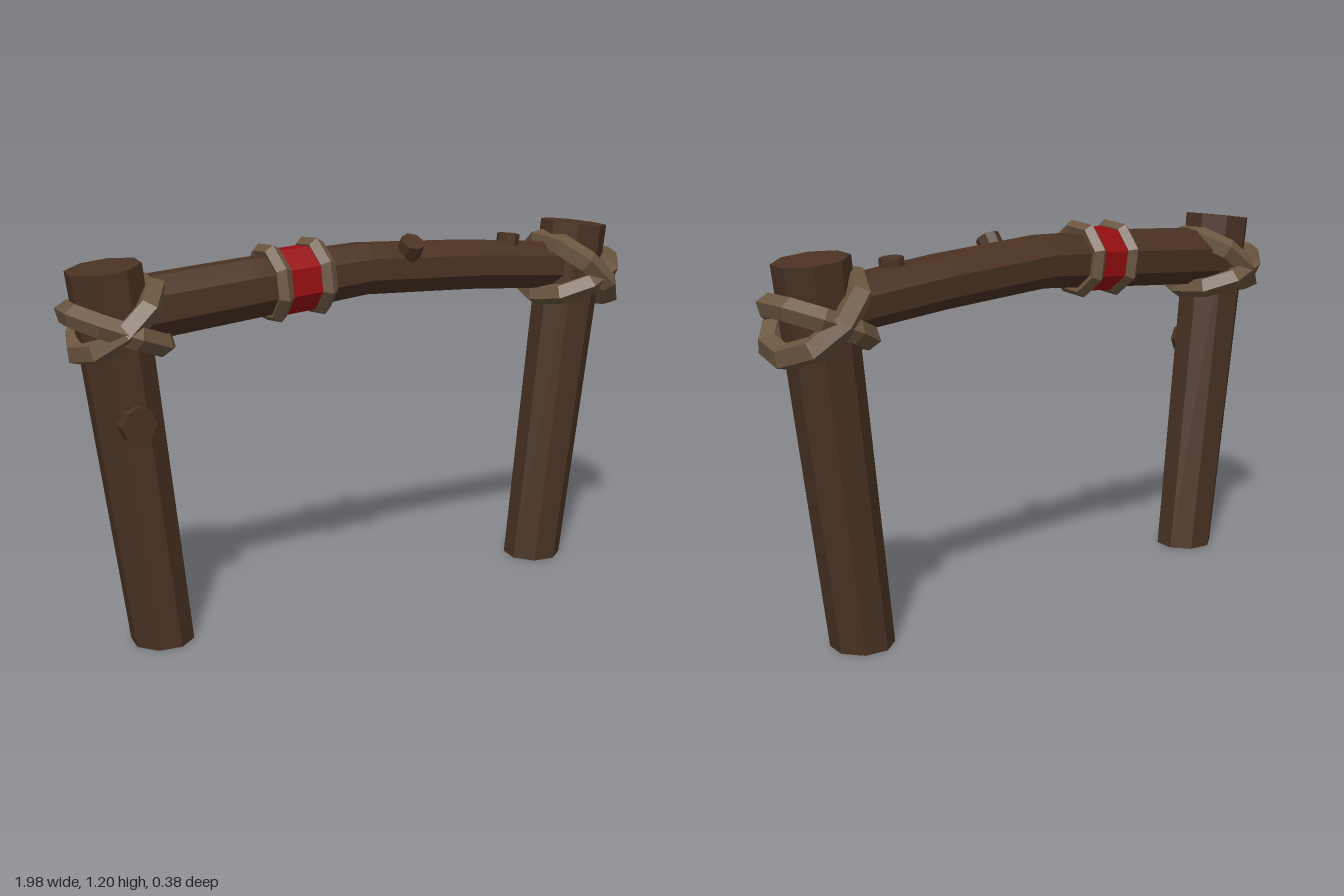
import * as THREE from 'three';

const mat = (color) => new THREE.MeshStandardMaterial({ color, flatShading: true, roughness: 1 });

// Faceted log through cross-sections [x, y, z, radius, tilt]; tilt 0 points up, -90 degrees points along +x
function logGeometry(sections, sides, turn) {
  const pos = [], index = [];
  for (const [x, y, z, r, tilt] of sections) {
    for (let j = 0; j < sides; j++) {
      const t = ((j + turn) / sides) * Math.PI * 2;
      const u = r * Math.cos(t);
      pos.push(x + u * Math.cos(tilt), y + u * Math.sin(tilt), z - r * Math.sin(t));
    }
  }
  const last = sections.length - 1;
  const first = sections[0], end = sections[last];
  const c0 = pos.length / 3;
  pos.push(first[0], first[1], first[2], end[0], end[1], end[2]);
  for (let j = 0; j < sides; j++) {
    const k = (j + 1) % sides;
    for (let i = 0; i < last; i++) {
      const a = i * sides, b = a + sides;
      index.push(a + j, a + k, b + k, a + j, b + k, b + j);
    }
    index.push(c0, k, j, c0 + 1, last * sides + j, last * sides + k);
  }
  const g = new THREE.BufferGeometry();
  g.setAttribute('position', new THREE.Float32BufferAttribute(pos, 3));
  g.setIndex(index);
  g.computeVertexNormals();
  return g;
}

export function createModel() {
  const group = new THREE.Group();
  const wood = mat(0x4a3223), rope = mat(0x6b5540), red = mat(0x960e10);

  const add = (name, geometry, material, x = 0, y = 0, z = 0) => {
    const m = new THREE.Mesh(geometry, material);
    m.name = name;
    m.position.set(x, y, z);
    group.add(m);
    return m;
  };

  // Leaning posts, flat on the ground and cut square at the top
  add('rightPost', logGeometry([[-0.72, 0, -0.003, 0.097, 0], [-0.86, 1.167, 0, 0.112, 0.12]], 8, 0.3), wood);
  add('leftPost', logGeometry([[0.71, 0, -0.003, 0.097, 0], [0.845, 1.167, 0, 0.112, -0.12]], 8, 0.3), wood);

  // Bowed crossbeam
  const H = -Math.PI / 2;
  add('crossbeam', logGeometry([
    [-0.82, 1.03, -0.008, 0.1, H + 0.07],
    [-0.4, 1.06, -0.008, 0.096, H + 0.07],
    [0, 1.083, -0.008, 0.086, H],
    [0.4, 1.06, -0.008, 0.085, H - 0.08],
    [0.82, 1.022, -0.008, 0.083, H - 0.08],
  ], 8, 0.4), wood);

  // Crossed rope lashings: [x, y, z, tilt, ring radius, tube radius]
  const lashings = [
    [-0.83, 1.015, -0.005, 0.69, 0.143, 0.038],
    [-0.825, 0.985, -0.005, -0.38, 0.15, 0.036],
    [0.84, 1.01, 0, -0.74, 0.152, 0.04],
    [0.828, 0.99, 0, 0.4, 0.148, 0.036],
  ];
  lashings.forEach(([x, y, z, tilt, r, tube], i) => {
    const g = new THREE.TorusGeometry(r, tube, 5, 9);
    g.rotateX(Math.PI / 2).rotateY(0.3 + i * 0.25);
    add('ropeLashing', g, rope, x, y, z).rotation.z = tilt;
  });

  // Red wrap with a rope ring on each side
  const wrap = new THREE.CylinderGeometry(0.104, 0.106, 0.15, 8);
  wrap.rotateY(0.3).rotateZ(H);
  add('redWrap', wrap, red, -0.247, 1.071, -0.008).rotation.z = 0.06;
  for (const [x, y] of [[-0.323, 1.068], [-0.172, 1.077]]) {
    const g = new THREE.TorusGeometry(0.1, 0.027, 5, 8);
    g.rotateZ(0.3).rotateY(Math.PI / 2);
    add('wrapRing', g, rope, x, y, -0.008).rotation.z = 0.06;
  }

  // Cut branch stubs: [x, y, z, radius, length, lean toward front, lean sideways]
  const stubs = [
    [-0.817, 0.722, 0.095, 0.057, 0.045, Math.PI / 2, 0],
    [0.144, 1.133, 0.047, 0.04, 0.08, 0.6, 0],
    [0.566, 1.118, 0, 0.039, 0.06, 0, -0.09],
  ];
  for (const [x, y, z, r, len, lean, side] of stubs) {
    const m = add('branchStub', new THREE.CylinderGeometry(r * 0.95, r, len, 8), wood, x, y, z);
    m.rotation.set(lean, 0, side);
  }

  return group;
}
